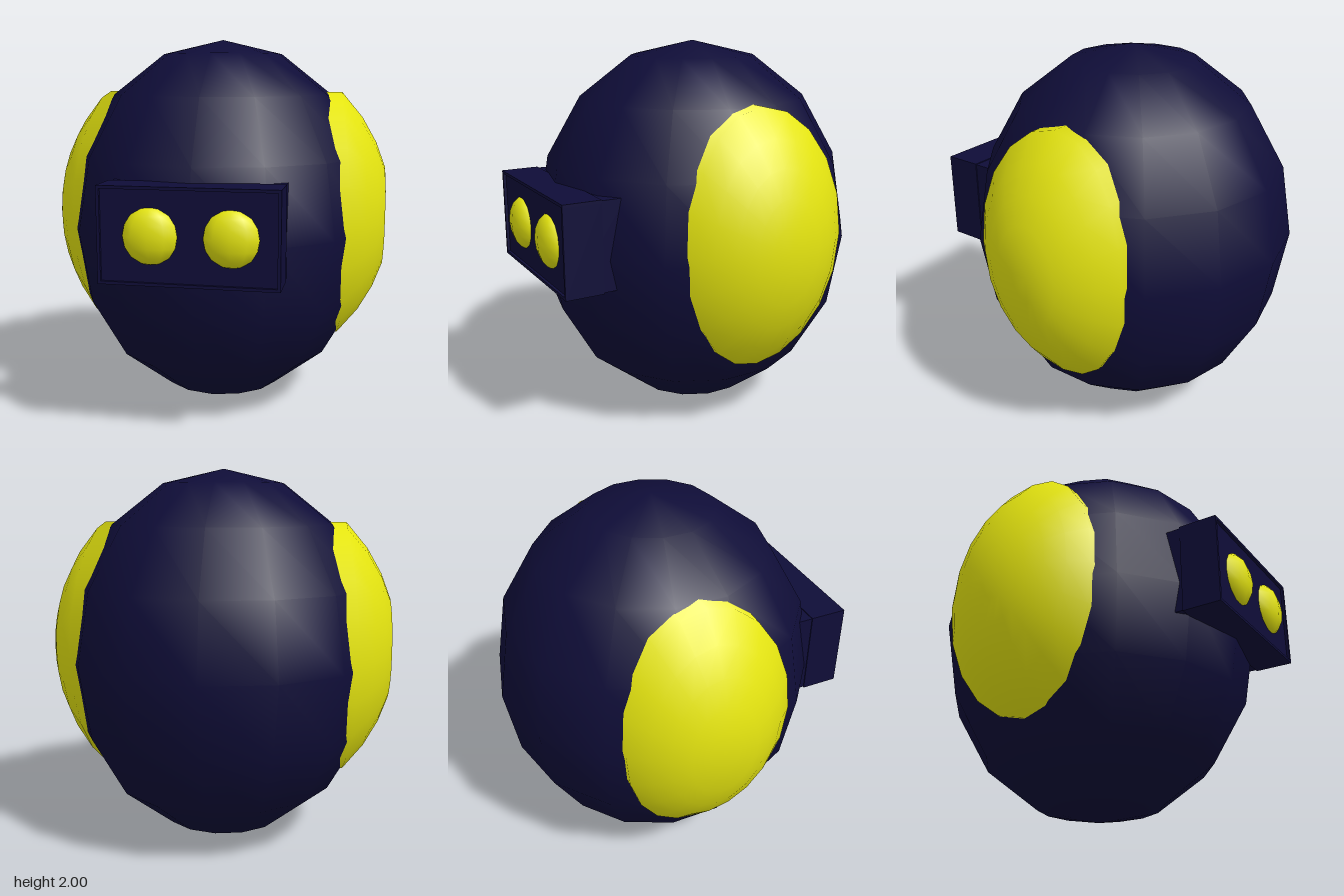
import * as THREE from 'three';

const navy = new THREE.MeshStandardMaterial({ color: 0x0f0d38 });
navy.name = 'navy';
const yellow = new THREE.MeshStandardMaterial({ color: 0xe6e610 });
yellow.name = 'yellow';

function add(group, name, geometry, material, x, y, z) {
  const mesh = new THREE.Mesh(geometry, material);
  mesh.name = name;
  mesh.position.set(x, y, z);
  group.add(mesh);
  return mesh;
}

// Smooth low-poly ellipsoid with a vertex pointing straight forward and back
function ellipsoid(rx, ry, rz, around, rows) {
  return new THREE.SphereGeometry(1, around, rows).rotateY(Math.PI / 2).scale(rx, ry, rz);
}

// Oval cap on the side of the body; its last ring sinks in as a skirt
function sideCap(side) {
  const rx = 0.935, ry = 0.94, rz = 0.72, rings = 6;
  const geo = new THREE.PlaneGeometry(1, 1, 20, rings);
  const pos = geo.attributes.position, nor = geo.attributes.normal, uv = geo.attributes.uv;
  const n = new THREE.Vector3();
  for (let i = 0; i < pos.count; i++) {
    const a = side * uv.getX(i) * Math.PI * 2;
    const ring = Math.round(uv.getY(i) * rings);
    const r = Math.min(ring / (rings - 1), 1);
    const y = 0.67 * r * Math.sin(a), z = 0.445 * r * Math.cos(a);
    let x = rx * Math.sqrt(1 - (y / ry) ** 2 - (z / rz) ** 2);
    x = Math.min(x, 0.905);
    n.set(side * x / rx ** 2, y / ry ** 2, z / rz ** 2).normalize();
    nor.setXYZ(i, n.x, n.y, n.z);
    pos.setXYZ(i, side * (ring === rings ? x - 0.1 : x), y, z);
  }
  return geo;
}

export function createModel() {
  const model = new THREE.Group();
  model.name = 'roundHead';

  // Faceted round body
  add(model, 'body', ellipsoid(0.85, 1, 0.86, 14, 8), navy, 0, 1, -0.07);

  // Yellow caps on both sides
  for (const side of [1, -1]) {
    add(model, side > 0 ? 'leftCap' : 'rightCap', sideCap(side), yellow, 0, 1.05, -0.08);
  }

  // Eye box with a slightly raised rim
  const box = new THREE.Group();
  box.name = 'eyeBox';
  model.add(box);
  const cx = 0.015, cy = 1.075, w = 0.87, h = 0.47;
  add(box, 'eyeBoxBody', new THREE.BoxGeometry(w - 0.01, h - 0.01, 0.31), navy, cx, cy, 0.71);
  for (const s of [1, -1]) {
    add(box, 'rimBar', new THREE.BoxGeometry(w, 0.015, 0.2), navy, cx, cy + s * (h / 2 - 0.0075), 0.78);
    add(box, 'rimPost', new THREE.BoxGeometry(0.015, h, 0.2), navy, cx + s * (w / 2 - 0.0075), cy, 0.78);
  }

  // Eyes
  for (const [name, x] of [['leftEye', 0.22], ['rightEye', -0.165]]) {
    add(model, name, ellipsoid(0.138, 0.14, 0.075, 10, 8), yellow, x, 1.075, 0.85);
  }
  return model;
}
